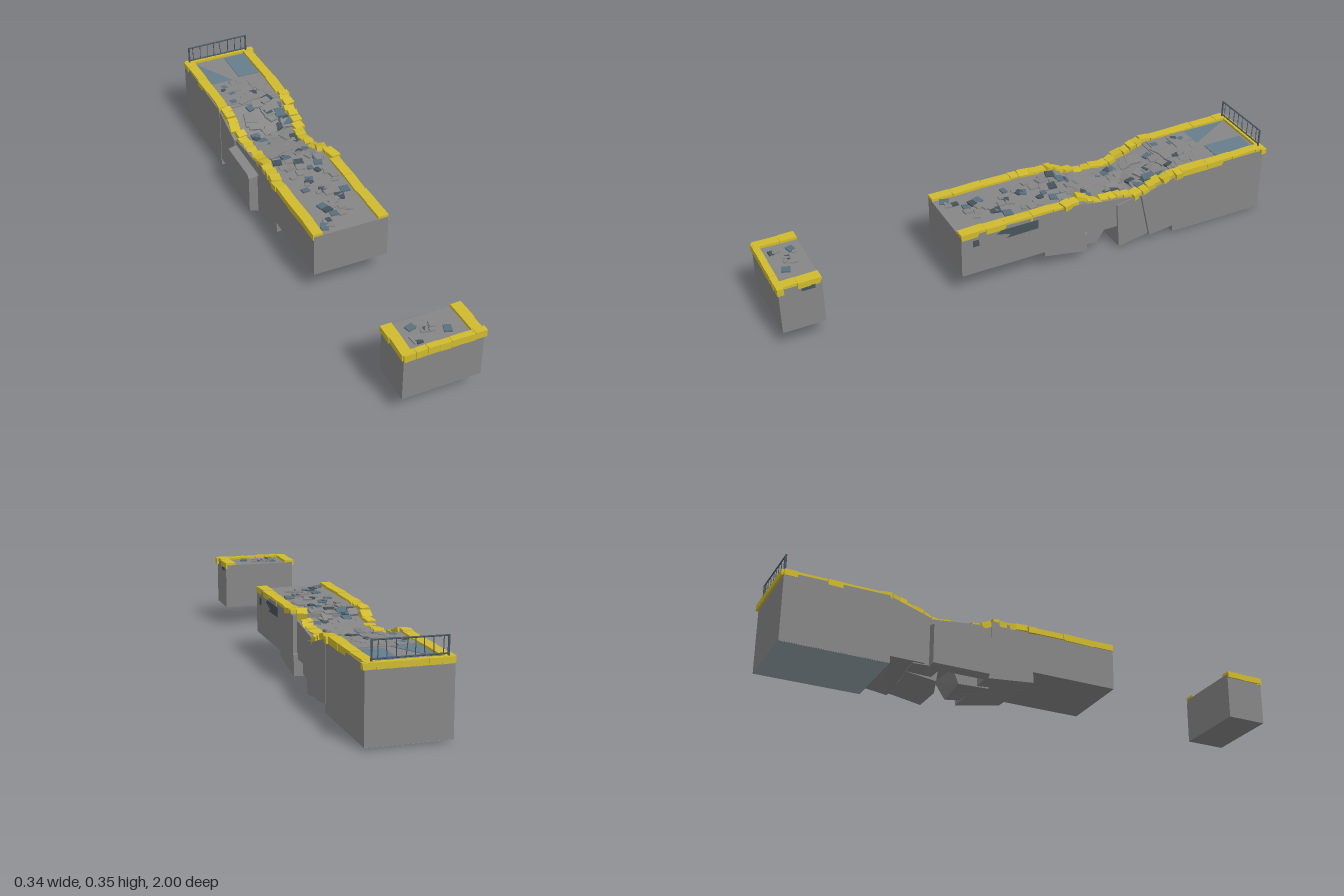
import * as THREE from 'three';
import { ConvexGeometry } from 'three/addons/geometries/ConvexGeometry.js';

const paint = (color) => new THREE.MeshStandardMaterial({ color, flatShading: true, side: THREE.DoubleSide });

// Linear interpolation through [z, value] pairs sorted by falling z
function along(pts, z) {
  for (let i = 1; i < pts.length; i++) {
    const [z0, v0] = pts[i - 1], [z1, v1] = pts[i];
    if (z >= z1) return THREE.MathUtils.lerp(v0, v1, Math.min(1, Math.max(0, (z0 - z) / (z0 - z1))));
  }
  return pts[pts.length - 1][1];
}
const DECK = [[1, 0.266], [-0.19, 0.266], [-0.22, 0.246], [-0.28, 0.228], [-0.42, 0.222], [-0.48, 0.242], [-0.59, 0.274], [-1, 0.276]];
const LEFT = [[1, 0.14], [-0.15, 0.14], [-0.22, 0.122], [-0.38, 0.122], [-0.46, 0.138], [-0.59, 0.142], [-1, 0.14]];
const RIGHT = [[1, -0.12], [-0.15, -0.12], [-0.25, -0.105], [-0.4, -0.1], [-0.48, -0.116], [-1, -0.121]];
const deckY = (z) => along(DECK, z);
const slope = (z) => Math.atan2(deckY(z - 0.02) - deckY(z + 0.02), 0.04);

export function createModel() {
  const model = new THREE.Group();
  const concrete = paint(0x868686), yellow = paint(0xcfba2e), iron = paint(0x4a5863);
  const slate = paint(0x5a707e), darkSlate = paint(0x46535b), paleSlate = paint(0x667d8b), base = paint(0x90a0a6);
  let seed = 17;
  const rand = (a = 0, b = 1) => {
    seed = (seed * 16807) % 2147483647;
    return a + (b - a) * (seed / 2147483647);
  };
  const group = (name) => {
    const g = new THREE.Group();
    g.name = name;
    model.add(g);
    return g;
  };
  const box = (parent, name, mat, size, pos, rot = [0, 0, 0]) => {
    const m = new THREE.Mesh(new THREE.BoxGeometry(...size), mat);
    m.name = name;
    m.position.set(...pos);
    m.rotation.set(...rot);
    parent.add(m);
  };
  const span = (parent, name, mat, x0, x1, y0, y1, z0, z1) =>
    box(parent, name, mat, [x1 - x0, y1 - y0, z1 - z0], [(x0 + x1) / 2, (y0 + y1) / 2, (z0 + z1) / 2]);
  // Broken chunk: a [z, y] side outline at each end of an x range
  const chunk = (parent, name, x0, side0, x1, side1) => {
    const pts = [...side0.map(([z, y]) => new THREE.Vector3(x0, y, z)), ...side1.map(([z, y]) => new THREE.Vector3(x1, y, z))];
    const m = new THREE.Mesh(new ConvexGeometry(pts), concrete);
    m.name = name;
    parent.add(m);
  };

  // Intact blocks
  const blocks = group('roadBlocks');
  span(blocks, 'frontIsland', concrete, -0.135, 0.16, 0.083, 0.266, 0.835, 0.993);
  span(blocks, 'middleBlock', concrete, -0.135, 0.16, 0.095, 0.266, -0.2, 0.31);
  span(blocks, 'rearBlock', concrete, -0.14, 0.16, 0.013, 0.275, -0.99, -0.59);

  // Collapsed chunks between the blocks
  const broken = group('brokenChunks');
  chunk(broken, 'sunkenWedge',
    -0.135, [[-0.03, 0.1], [-0.03, 0.052], [-0.22, 0.033], [-0.22, 0.2], [-0.1, 0.2]],
    0.16, [[-0.03, 0.1], [-0.03, 0.075], [-0.21, 0.042], [-0.21, 0.12], [-0.1, 0.15]]);
  chunk(broken, 'hangingShard',
    -0.05, [[-0.16, 0.1], [-0.17, 0.034], [-0.29, 0.03], [-0.32, 0.1]],
    0.125, [[-0.12, 0.1], [-0.13, 0.058], [-0.27, 0.04], [-0.31, 0.1]]);
  chunk(broken, 'neck',
    -0.13, [[-0.18, 0.25], [-0.18, 0.09], [-0.44, 0.08], [-0.45, 0.22], [-0.27, 0.226]],
    0.145, [[-0.18, 0.25], [-0.18, 0.105], [-0.42, 0.105], [-0.42, 0.218], [-0.27, 0.226]]);
  chunk(broken, 'tiltedChunk',
    0.01, [[-0.36, 0.003], [-0.49, 0.03], [-0.47, 0.21], [-0.33, 0.205]],
    0.152, [[-0.355, 0.012], [-0.49, 0.035], [-0.46, 0.225], [-0.34, 0.205]]);
  chunk(broken, 'tiltedChunkMiddle',
    -0.055, [[-0.38, 0.02], [-0.5, 0.035], [-0.5, 0.23], [-0.36, 0.2]],
    0.01, [[-0.36, 0.003], [-0.49, 0.03], [-0.47, 0.22], [-0.33, 0.2]]);
  chunk(broken, 'tiltedChunkSide',
    -0.13, [[-0.39, 0.04], [-0.5, 0.035], [-0.5, 0.23], [-0.36, 0.2]],
    -0.05, [[-0.4, 0.032], [-0.5, 0.035], [-0.48, 0.22], [-0.34, 0.2]]);
  chunk(broken, 'rampChunk',
    -0.138, [[-0.44, 0.222], [-0.46, 0.04], [-0.6, 0.04], [-0.6, 0.274]],
    0.162, [[-0.44, 0.222], [-0.485, 0.03], [-0.6, 0.045], [-0.6, 0.274]]);
  chunk(broken, 'sideSlab',
    -0.168, [[-0.22, 0.035], [-0.22, 0.185], [-0.235, 0.198], [-0.43, 0.198], [-0.44, 0.185], [-0.44, 0.035]],
    -0.125, [[-0.21, 0.03], [-0.21, 0.2], [-0.44, 0.2], [-0.44, 0.03]]);

  // Yellow curb stones: long on intact edges, short and loose over the collapse
  const curbs = group('yellowCurbs');
  for (const [z0, z1] of [[0.993, 0.835], [0.31, -0.99]]) {
    for (const edge of [LEFT, RIGHT]) {
      for (let z = z0; z > z1 + 0.005;) {
        const loose = z < 0 && z > -0.6;
        const rough = loose ? 1 : 0.15;
        const len = Math.min(loose ? rand(0.025, 0.045) : rand(0.07, 0.13), z - z1);
        const mid = z - len / 2;
        box(curbs, 'curbStone', yellow, [rand(0.037, 0.042), rand(0.022, 0.026), len * 0.99],
          [along(edge, mid) + rand(-0.008, 0.006) * rough, deckY(mid) - 0.002 + rand(-0.003, 0.006) * rough, mid],
          [slope(mid) + rand(-0.1, 0.1) * rough, rand(-0.25, 0.25) * rough, rand(-0.1, 0.1) * rough]);
        z -= len;
      }
    }
  }
  // Curb rows across the two far ends
  for (let i = 0; i < 7; i++) {
    const x = -0.114 + i * 0.0435;
    box(curbs, 'frontCurbStone', yellow, [0.043, 0.028, 0.024], [x, 0.261 + rand(-0.003, 0.002), 0.986], [0, rand(-0.06, 0.06), rand(-0.06, 0.06)]);
    box(curbs, 'rearCurbStone', yellow, [0.043, 0.022, 0.022], [x, 0.274, -0.987], [0, 0, rand(-0.04, 0.04)]);
  }

  // Loose paving tiles on the decks: [zNear, zFar, count, size, tilt]
  const tiles = group('pavingTiles');
  const tileMats = [concrete, slate, concrete, darkSlate, concrete];
  const zones = [[0.95, 0.865, 9, 0.026, 0.06], [0.28, -0.1, 32, 0.027, 0.06], [-0.1, -0.3, 28, 0.034, 0.16],
    [-0.28, -0.56, 34, 0.04, 0.14], [-0.55, -0.76, 18, 0.03, 0.05]];
  for (const [zn, zf, count, size, tilt] of zones) {
    for (let i = 0; i < count; i++) {
      // Stratified along z so that the tiles spread evenly
      const z = zf + (zn - zf) * (i + rand()) / count, s = size * rand(0.7, 1.3);
      box(tiles, 'tile', tileMats[i % 5], [s, 0.008, s * rand(0.7, 1.2)], [rand(-0.08, 0.1), deckY(z) + 0.002, z],
        [slope(z) + rand(-tilt, tilt), rand(-0.4, 0.4), rand(-tilt, tilt)]);
    }
  }
  // Large cracked plates at the foot of the rear deck
  for (let i = 0; i < 6; i++) {
    box(tiles, 'crackedPlate', concrete, [0.071, 0.007, 0.085], [-0.062 + (i % 3) * 0.072, 0.275 + rand(0, 0.002), -0.65 - Math.floor(i / 3) * 0.088],
      [rand(-0.03, 0.03), rand(-0.06, 0.06), rand(-0.03, 0.03)]);
  }

  // Worn slate panels on the rear deck, side faces and underside
  const panels = group('slatePanels');
  const plate = (name, mat, outline, depth) => {
    const shape = new THREE.Shape(outline.map(([x, y]) => new THREE.Vector2(x, y)));
    const m = new THREE.Mesh(new THREE.ExtrudeGeometry(shape, { depth, bevelEnabled: false }), mat);
    m.name = name;
    panels.add(m);
    return m;
  };
  span(panels, 'rightDeckPanel', paleSlate, 0.03, 0.12, 0.27, 0.278, -0.965, -0.8);
  const wedge = plate('leftDeckPanel', paleSlate, [[-0.1, 0.97], [-0.1, 0.78], [0, 0.78]], 0.004);
  wedge.rotation.x = -Math.PI / 2;
  wedge.position.y = 0.273;
  span(panels, 'undersidePanel', base, -0.139, 0.159, 0.012, 0.014, -0.989, -0.591);
  const scar = plate('sideScar', darkSlate, [[0, 0.252], [0, 0.215], [-0.13, 0.212], [-0.11, 0.225], [-0.17, 0.24], [-0.15, 0.252]], 0.003);
  scar.rotation.y = Math.PI / 2;
  scar.position.x = 0.158;
  span(panels, 'sidePatch', darkSlate, 0.158, 0.161, 0.213, 0.24, 0.24, 0.265);
  span(panels, 'islandPatch', darkSlate, 0.158, 0.161, 0.238, 0.254, 0.86, 0.91);

  // Railing at the rear end, slightly bent
  const railing = group('railing');
  const bar = (name, a, b, r) => {
    const curve = new THREE.LineCurve3(new THREE.Vector3(...a), new THREE.Vector3(...b));
    const m = new THREE.Mesh(new THREE.TubeGeometry(curve, 1, r, 6), iron);
    m.name = name;
    railing.add(m);
  };
  const Z = -0.982;
  bar('topRail', [-0.12, 0.351, Z], [0.137, 0.354, Z], 0.003);
  bar('bottomRail', [-0.12, 0.293, Z], [0.137, 0.293, Z], 0.003);
  for (const x of [-0.12, 0.135]) bar('railPost', [x, 0.275, Z], [x, 0.353, Z], 0.0038);
  const lean = [-0.002, 0.001, 0.003, -0.001, -0.007, 0.001, 0.004, -0.002];
  lean.forEach((d, i) => {
    const x = -0.102 + i * 0.031;
    bar('baluster', [x, 0.293, Z], [x + d, 0.352, Z], 0.0016);
  });

  return model;
}
